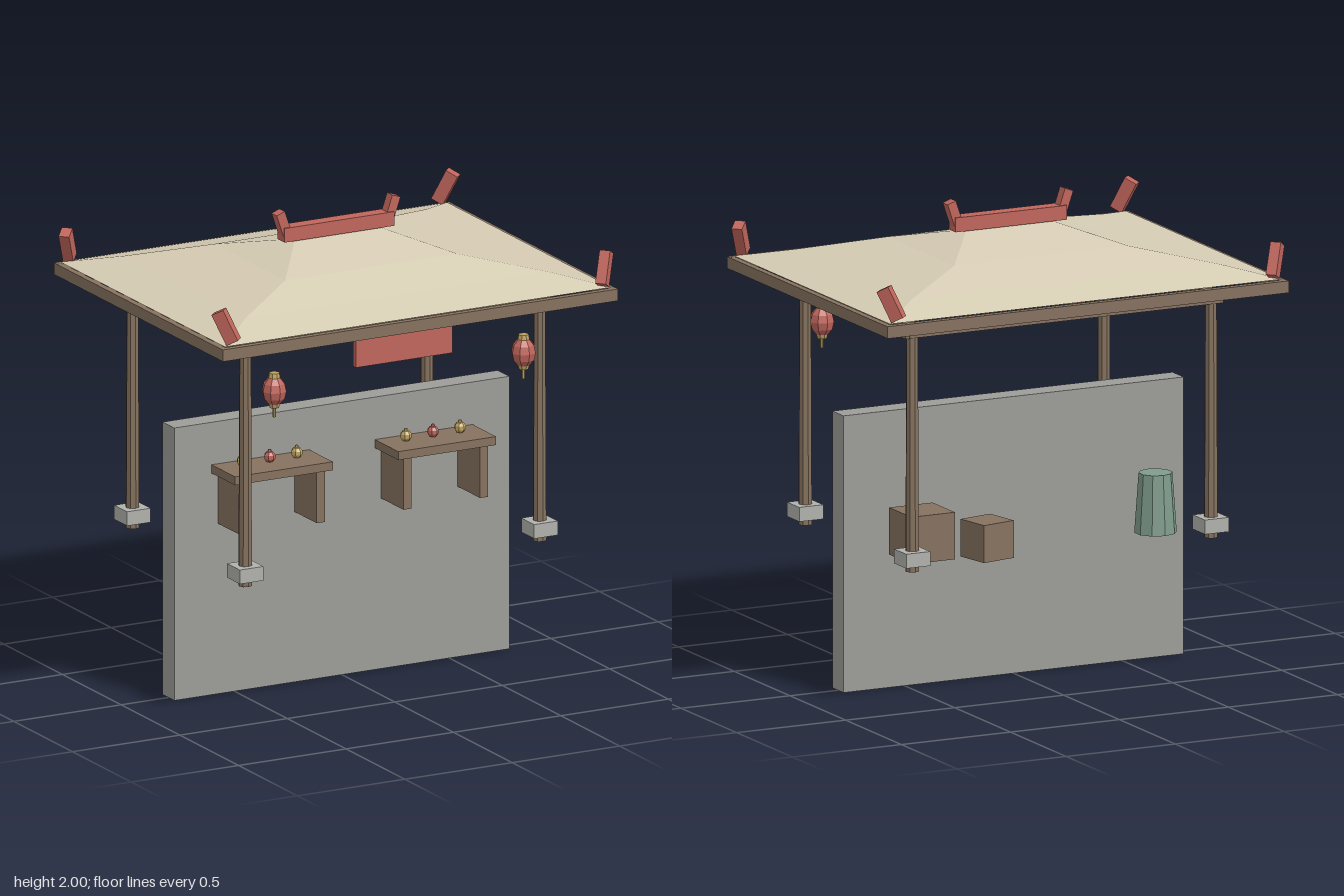
import * as THREE from 'three';

const mat = (color, extra = {}) => new THREE.MeshStandardMaterial({ color, flatShading: true, ...extra });

export function createModel() {
  const model = new THREE.Group();
  const wood = mat(0x86725f), red = mat(0xc0665c), gold = mat(0xbfa560);
  const green = mat(0x7f9c8c), stone = mat(0x9c9c98), pale = mat(0xb0b0ac);
  const thatch = mat(0xd6ccb4, { side: THREE.DoubleSide });

  const add = (name, geometry, material, x, y, z, parent = model) => {
    const mesh = new THREE.Mesh(geometry, material);
    mesh.name = name;
    mesh.position.set(x, y, z);
    parent.add(mesh);
    return mesh;
  };
  const box = (name, material, w, h, d, x, y, z, parent) =>
    add(name, new THREE.BoxGeometry(w, h, d), material, x, y, z, parent);

  // Upright wall slab
  box('wall', stone, 1.56, 1.16, 0.1, 0, 0.58, 0);

  // Posts on stone feet, and the finials at the eave corners
  for (const sx of [-1, 1]) for (const sz of [-1, 1]) {
    add('post', new THREE.CylinderGeometry(0.025, 0.029, 0.99, 8), wood, sx * 0.685, 1.083, sz * 0.48);
    box('postFoot', pale, 0.11, 0.06, 0.11, sx * 0.685, 0.645, sz * 0.48);
    const finial = box('cornerFinial', red, 0.055, 0.14, 0.045, sx * 0.88, 1.767, sz * 0.675);
    // leans outward in x and inward in z
    const turn = new THREE.Quaternion().setFromAxisAngle(new THREE.Vector3(0, 1, 0), Math.atan2(sz, sx));
    const lean = new THREE.Quaternion().setFromAxisAngle(new THREE.Vector3(0, 0, 1), -0.47);
    finial.quaternion.copy(turn).multiply(lean);
  }

  // Beams on the posts and the eave frame around the roof
  for (const s of [-1, 1]) {
    box('longBeam', wood, 1.46, 0.055, 0.055, 0, 1.597, s * 0.48);
    box('sideBeam', wood, 0.05, 0.053, 1.02, s * 0.685, 1.597, 0);
    box('longEave', wood, 1.84, 0.05, 0.028, 0, 1.66, s * 0.706);
    box('sideEave', wood, 0.028, 0.049, 1.43, s * 0.906, 1.66, 0);
  }

  // Hipped roof: rectangular rings of [half width, half depth, height]
  const rings = [[0.9, 0.7, 1.69], [0.71, 0.52, 1.735], [0.4, 0.3, 1.8], [0.19, 0, 1.87]];
  const corners = ([w, d, y]) => [[-w, y, d], [w, y, d], [w, y, -d], [-w, y, -d]];
  const roof = [];
  for (let k = 0; k < 4; k++) {
    const n = (k + 1) % 4;
    for (let i = 0; i < 3; i++) {
      const a = corners(rings[i]), b = corners(rings[i + 1]);
      roof.push(...a[k], ...a[n], ...b[n]);
      if (i < 2 || k % 2 === 0) roof.push(...a[k], ...b[n], ...b[k]);
    }
    // Underside sags to a point in the middle
    const e = corners(rings[0]);
    roof.push(...e[n], ...e[k], 0, 1.623, 0);
  }
  const roofGeometry = new THREE.BufferGeometry();
  roofGeometry.setAttribute('position', new THREE.Float32BufferAttribute(roof, 3));
  roofGeometry.computeVertexNormals();
  add('roof', roofGeometry, thatch, 0, 0, 0);

  // Ridge with flared ends
  box('ridge', red, 0.51, 0.06, 0.06, 0, 1.9, 0);
  for (const s of [-1, 1]) {
    box('ridgeEnd', red, 0.04, 0.1, 0.046, s * 0.253, 1.946, 0).rotation.z = -s * 0.33;
  }

  // Blank hanging board
  box('hangingBoard', red, 0.45, 0.135, 0.025, 0, 1.543, 0.568);

  for (const s of [-1, 1]) {
    // Lantern
    const lantern = new THREE.Group();
    lantern.name = 'lantern';
    lantern.position.set(s * 0.58, 1.417, 0.535);
    model.add(lantern);
    add('lanternBody', new THREE.SphereGeometry(0.052, 8, 6), red, 0, 0, 0, lantern).scale.y = 1.2;
    add('lanternCap', new THREE.CylinderGeometry(0.022, 0.026, 0.02, 8), gold, 0, 0.066, 0, lantern);
    add('lanternBase', new THREE.CylinderGeometry(0.026, 0.02, 0.02, 8), gold, 0, -0.062, 0, lantern);
    add('lanternTassel', new THREE.CylinderGeometry(0.007, 0.007, 0.045, 6), gold, 0, -0.09, 0, lantern);

    // Table with plank legs and three small pots
    const table = new THREE.Group();
    table.name = 'table';
    table.position.x = s * 0.38;
    model.add(table);
    box('tableTop', wood, 0.455, 0.036, 0.2, 0, 0.962, 0.152, table);
    for (const t of [-1, 1]) box('tableLeg', wood, 0.038, 0.22, 0.19, t * 0.178, 0.835, 0.145, table);
    for (const t of [-1, 0, 1]) {
      const m = t === 0 ? red : gold;
      add('pot', new THREE.SphereGeometry(0.025, 7, 5), m, t * 0.126, 1.003, 0.13, table);
      add('potLid', new THREE.CylinderGeometry(0.006, 0.01, 0.012, 6), m, t * 0.126, 1.028, 0.13, table);
    }
  }

  // Crates and a tapered jar behind the wall
  box('largeCrate', wood, 0.2, 0.197, 0.2, 0.535, 0.688, -0.275);
  box('smallCrate', wood, 0.155, 0.157, 0.155, 0.3, 0.668, -0.4).rotation.y = 0.2;
  add('jar', new THREE.CylinderGeometry(0.07, 0.088, 0.25, 10), green, -0.523, 0.714, -0.3);

  return model;
}
